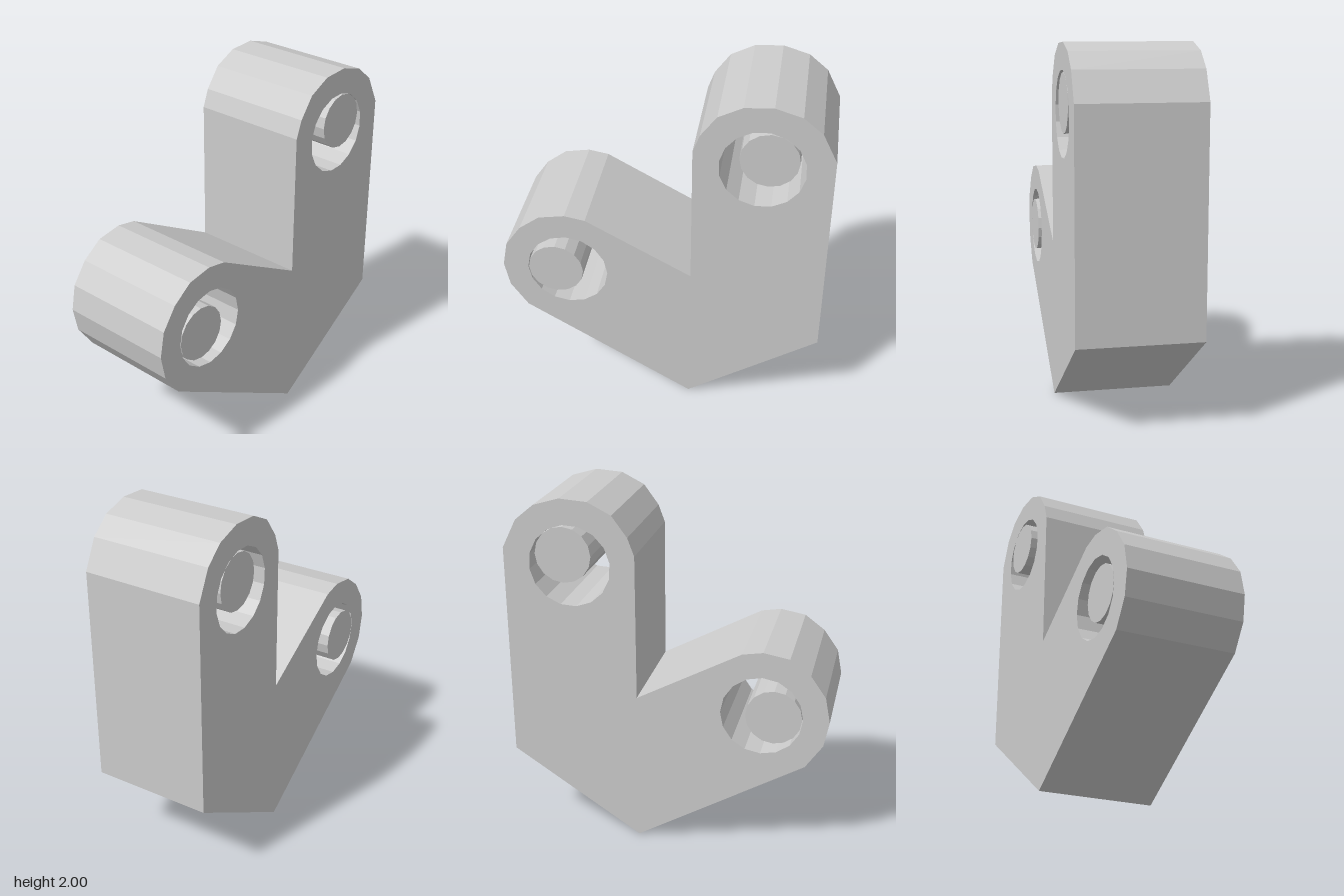
import * as THREE from 'three';

const DEPTH = 0.68;
const SIDES = 16;

// Regular polygon path for a bore
function borePath(cx, cy, r, startDeg) {
  const pts = [];
  for (let i = 0; i < SIDES; i++) {
    const a = THREE.MathUtils.degToRad(startDeg) - (i / SIDES) * Math.PI * 2;
    pts.push(new THREE.Vector2(cx + r * Math.cos(a), cy + r * Math.sin(a)));
  }
  return new THREE.Path(pts);
}

export function createModel() {
  const group = new THREE.Group();
  group.name = 'twoArmBracket';
  const material = new THREE.MeshStandardMaterial({ color: 0xcccccc, flatShading: true });

  // Bracket outline, counter-clockwise from the bottom corner
  const outline = [
    [0.165, 0], [0.905, 0.485], [0.905, 1.71],
    // rounded end of the upright arm
    [0.825, 1.87], [0.72, 1.957], [0.575, 2], [0.42, 1.99], [0.29, 1.925], [0.205, 1.81], [0.168, 1.71],
    // inner corner
    [0.168, 0.885],
    // rounded end of the slanted arm
    [-0.42, 1.205], [-0.535, 1.225], [-0.68, 1.2], [-0.795, 1.115], [-0.88, 0.995],
    [-0.908, 0.85], [-0.88, 0.705], [-0.785, 0.565],
  ].map(([x, y]) => new THREE.Vector2(x, y));

  // Each bore holds an off-centre pin that touches its wall
  const ends = [
    { name: 'slantedArmPin', bore: [-0.535, 0.85, 0.229, 90], pin: [-0.603, 0.848] },
    { name: 'uprightArmPin', bore: [0.532, 1.63, 0.229, 82], pin: [0.567, 1.69] },
  ];

  const shape = new THREE.Shape(outline);
  for (const end of ends) shape.holes.push(borePath(...end.bore));
  const bodyGeometry = new THREE.ExtrudeGeometry(shape, { depth: DEPTH, bevelEnabled: false, curveSegments: 1 });
  bodyGeometry.translate(0, 0, -DEPTH / 2);
  const body = new THREE.Mesh(bodyGeometry, material);
  body.name = 'bracketBody';
  group.add(body);

  // Pins, flush with both faces of the body
  for (const { name, pin } of ends) {
    const geometry = new THREE.CylinderGeometry(0.157, 0.157, DEPTH, SIDES);
    geometry.rotateX(Math.PI / 2);
    const mesh = new THREE.Mesh(geometry, material);
    mesh.name = name;
    mesh.position.set(pin[0], pin[1], 0);
    group.add(mesh);
  }

  return group;
}
